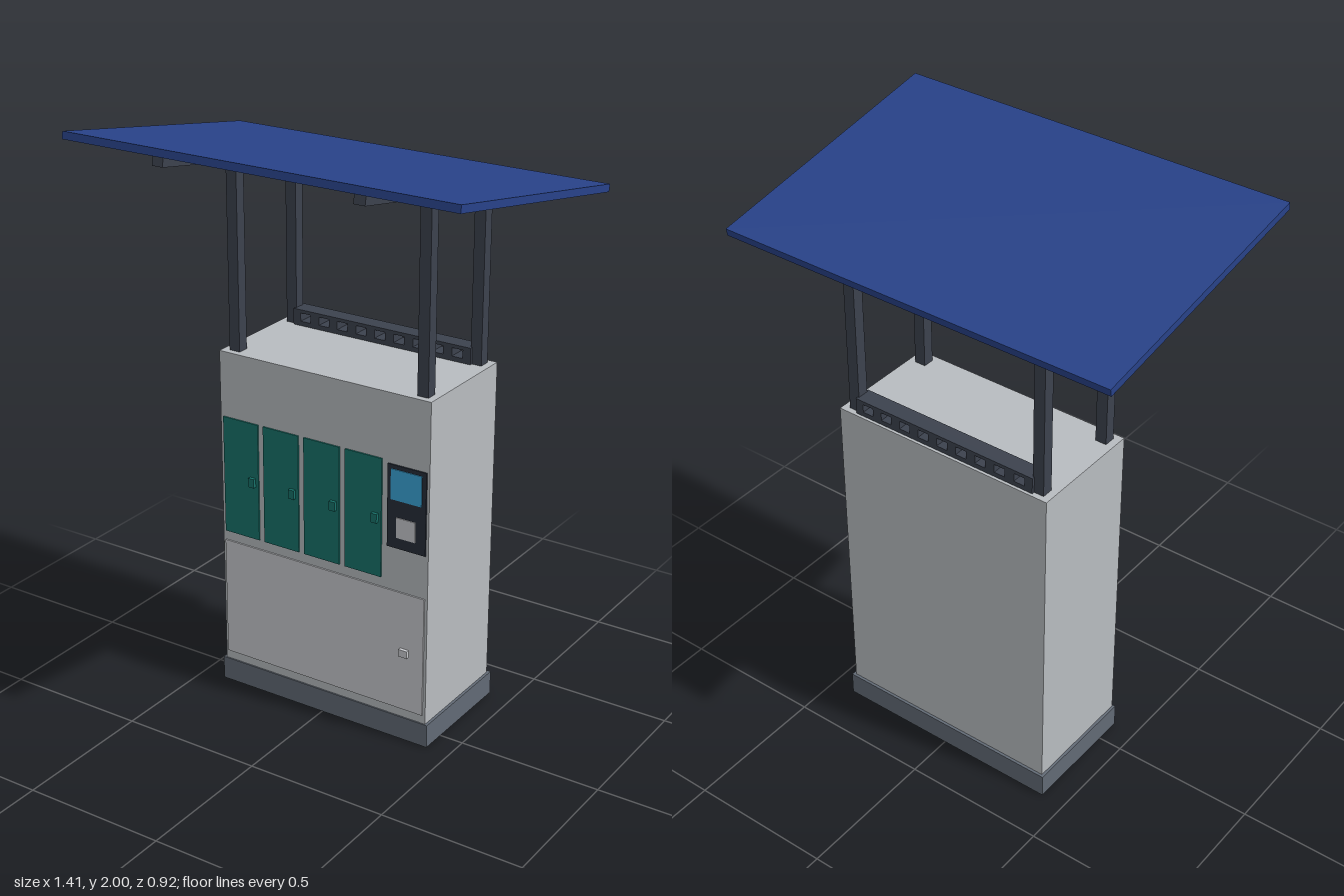
import * as THREE from 'three';

const mat = (color) => new THREE.MeshStandardMaterial({ color });

// box given by its min/max on each axis
function box(parent, name, material, [x0, x1], [y0, y1], [z0, z1]) {
  const m = new THREE.Mesh(new THREE.BoxGeometry(x1 - x0, y1 - y0, z1 - z0), material);
  m.position.set((x0 + x1) / 2, (y0 + y1) / 2, (z0 + z1) / 2);
  m.name = name;
  parent.add(m);
  return m;
}

function rect(Type, x0, x1, y0, y1) {
  const p = new Type();
  p.moveTo(x0, y0);
  p.lineTo(x1, y0);
  p.lineTo(x1, y1);
  p.lineTo(x0, y1);
  p.closePath();
  return p;
}

export function createModel() {
  const model = new THREE.Group();
  model.name = 'solarLockerKiosk';
  const body = mat(0xb8bcc0), light = mat(0xc8cace), plinthMat = mat(0x626a75);
  const steel = mat(0x3c424e), teal = mat(0x17726a), dark = mat(0x262d38);
  const blue = mat(0x3aa5d8), panelMat = mat(0x284289);

  // plinth: hollow rectangular frame
  const frame = rect(THREE.Shape, -0.415, 0.415, -0.09, 0.335);
  frame.holes.push(rect(THREE.Path, -0.345, 0.345, -0.02, 0.265));
  const plinth = new THREE.Mesh(
    new THREE.ExtrudeGeometry(frame, { depth: 0.083, bevelEnabled: false }), plinthMat);
  plinth.rotation.x = -Math.PI / 2;
  plinth.name = 'plinth';
  model.add(plinth);

  // cabinet
  box(model, 'cabinet', body, [-0.405, 0.405], [0.08, 1.23], [-0.325, 0.085]);

  // four locker doors with latches
  for (let i = 0; i < 4; i++) {
    const x = -0.393 + i * 0.161;
    box(model, 'lockerDoor', teal, [x, x + 0.14], [0.58, 1.0], [0.08, 0.09]);
    box(model, 'lockerLatch', teal, [x + 0.107, x + 0.129], [0.774, 0.806], [0.085, 0.102]);
  }

  // lower service door
  box(model, 'serviceDoor', light, [-0.395, 0.395], [0.115, 0.545], [0.08, 0.09]);
  box(model, 'serviceLatch', light, [0.308, 0.34], [0.317, 0.343], [0.085, 0.102]);

  // control panel
  box(model, 'controlPanel', dark, [0.252, 0.396], [0.7, 0.99], [0.08, 0.09]);
  box(model, 'screen', blue, [0.266, 0.38], [0.87, 0.976], [0.085, 0.093]);
  box(model, 'keypad', light, [0.288, 0.359], [0.739, 0.81], [0.085, 0.093]);

  // slotted bar along the back of the roof
  const bar = rect(THREE.Shape, -0.345, 0.345, 1.225, 1.287);
  for (let i = -4; i <= 4; i++) {
    const x = i * 0.074;
    bar.holes.push(rect(THREE.Path, x - 0.02, x + 0.02, 1.246, 1.275));
  }
  const slottedBar = new THREE.Mesh(
    new THREE.ExtrudeGeometry(bar, { depth: 0.06, bevelEnabled: false }), steel);
  slottedBar.position.z = -0.315;
  slottedBar.name = 'slottedBar';
  model.add(slottedBar);

  // canopy posts
  for (const s of [-0.36, 0.36]) {
    box(model, 'frontPost', steel, [s - 0.02, s + 0.02], [1.22, 1.866], [0.022, 0.062]);
    box(model, 'rearPost', steel, [s - 0.02, s + 0.02], [1.22, 1.811], [-0.305, -0.265]);
  }

  // tilted canopy: solar panel on two rails
  const canopy = new THREE.Group();
  canopy.name = 'canopy';
  canopy.position.set(0, 1.9075, 0);
  canopy.rotation.x = -THREE.MathUtils.degToRad(10);
  box(canopy, 'solarPanel', panelMat, [-0.705, 0.705], [-0.0125, 0.0125], [-0.463, 0.463]);
  for (const s of [-0.36, 0.36]) {
    box(canopy, 'rail', steel, [s - 0.02, s + 0.02], [-0.047, -0.0155], [-0.427, 0.427]);
  }
  model.add(canopy);
  return model;
}
